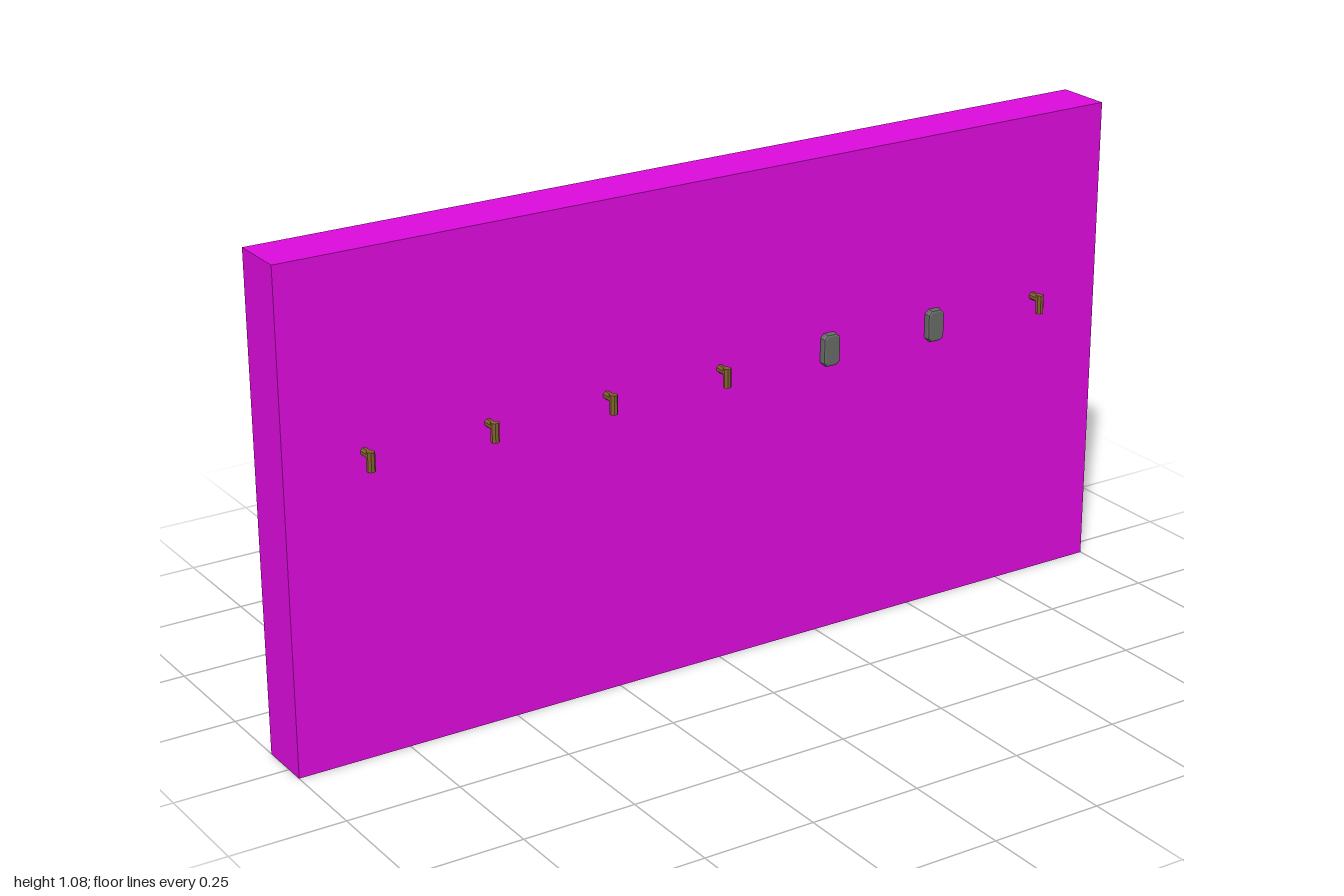
import * as THREE from 'three';

const BACK = -0.08, FRONT = 0.045, HEIGHT = 1.075;

function mesh(name, geometry, color) {
  const m = new THREE.Mesh(geometry, new THREE.MeshStandardMaterial({ color, flatShading: true }));
  m.name = name;
  return m;
}

// Small hook: an arm out of the board with a short post hanging from its end
function makePeg() {
  const peg = new THREE.Group();
  peg.name = 'peg';
  const arm = mesh('pegArm', new THREE.CylinderGeometry(0.009, 0.009, 0.04, 8), 0x80602c);
  arm.rotation.set(Math.PI / 2, Math.PI / 8, 0);
  arm.position.set(0, 0.662, FRONT + 0.01);
  const post = mesh('pegPost', new THREE.CylinderGeometry(0.009, 0.009, 0.042, 8), 0x80602c);
  post.rotation.y = Math.PI / 8;
  post.position.set(0, 0.65, 0.0715);
  peg.add(arm, post);
  return peg;
}

// Upright plate with clipped corners and a bevelled front
function makePlate() {
  const w = 0.016, h = 0.031, c = 0.006;
  const outline = new THREE.Shape([
    [-w + c, -h], [w - c, -h], [w, -h + c], [w, h - c],
    [w - c, h], [-w + c, h], [-w, h - c], [-w, -h + c],
  ].map(([x, y]) => new THREE.Vector2(x, y)));
  const geometry = new THREE.ExtrudeGeometry(outline, {
    depth: 0.02, bevelEnabled: true, bevelThickness: 0.006, bevelSize: 0.005, bevelSegments: 2,
  });
  const plate = mesh('plate', geometry, 0x666a66);
  plate.position.set(0, 0.65, 0.035);
  return plate;
}

export function createModel() {
  const group = new THREE.Group();

  // Board
  const board = mesh('board', new THREE.BoxGeometry(2, HEIGHT, FRONT - BACK), 0xdd0bdd);
  board.position.set(0, HEIGHT / 2, (FRONT + BACK) / 2);
  group.add(board);

  // Row of seven fittings, the fifth and sixth being plates
  for (let i = 0; i < 7; i++) {
    const fitting = i === 4 || i === 5 ? makePlate() : makePeg();
    fitting.position.x = (i - 3) * 0.275;
    group.add(fitting);
  }
  return group;
}
